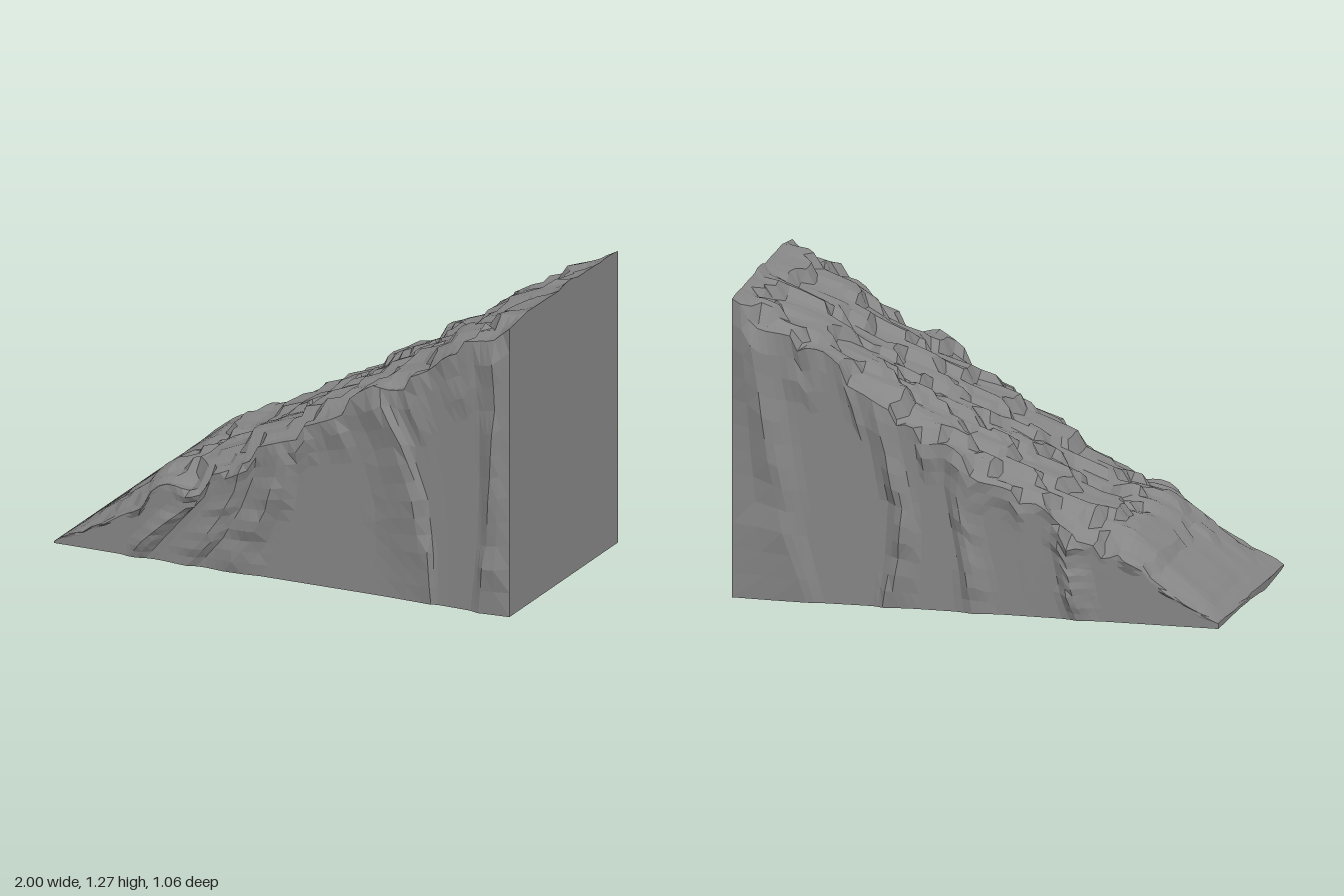
import * as THREE from 'three';

const NX = 60, NZ = 24, NY = 12;     // cells along the ramp, across it, and up each wall
const BASE = 0.035, HALF = 0.49;
const { lerp, clamp, smoothstep } = THREE.MathUtils;

// repeatable noise: a hash in 0..1 and a smoothed version in -1..1
function hash(a, b, seed) {
  const v = Math.sin(a * 127.1 + b * 311.7 + seed * 74.7) * 43758.5453;
  return v - Math.floor(v);
}
function noise(x, y, seed) {
  const i = Math.floor(x), j = Math.floor(y);
  const u = smoothstep(x - i, 0, 1), v = smoothstep(y - j, 0, 1);
  const low = lerp(hash(i, j, seed), hash(i + 1, j, seed), u);
  const high = lerp(hash(i, j + 1, seed), hash(i + 1, j + 1, seed), u);
  return lerp(low, high, v) * 2 - 1;
}
function piecewise(points, x) {
  for (let i = 1; i < points.length; i++) {
    const [x0, y0] = points[i - 1], [x1, y1] = points[i];
    if (x <= x1) return lerp(y0, y1, clamp((x - x0) / (x1 - x0), 0, 1));
  }
  return points[points.length - 1][1];
}

// centre line of the slope
const SLOPE = [[-1, 0.04], [-0.8, 0.19], [-0.58, 0.36], [-0.4, 0.42], [-0.2, 0.54], [0, 0.66],
  [0.2, 0.78], [0.4, 0.91], [0.55, 1], [0.7, 1.11], [0.85, 1.19], [1, 1.262]];

// wall ridges: x at the top, then x at three quarters, half, a quarter and the bottom
const FRONT = [[-0.36, -0.4, -0.5, -0.59, -0.66], [-0.16, -0.19, -0.25, -0.33, -0.44],
  [0, -0.02, -0.06, -0.13, -0.25], [0.38, 0.52, 0.61, 0.64, 0.65], [0.94, 0.95, 0.93, 0.91, 0.87]];
const BACK = [[-0.35, -0.34, -0.36, -0.38, -0.42], [0.08, 0.1, 0.07, 0.03, 0],
  [0.42, 0.36, 0.32, 0.34, 0.38], [0.93, 0.88, 0.84, 0.78, 0.68]];

function slopeHeight(x, z) {
  const ends = smoothstep(x, -1, -0.75) * (1 - 0.75 * smoothstep(x, 0.9, 1));
  const rough = 0.35 + 0.65 * smoothstep(x, -0.75, -0.4);
  const edge = smoothstep(Math.abs(z), 0.34, 0.5);
  // narrow lanes wander downhill, each broken into steep steps of its own
  const lane = Math.floor(z * 13 + 1.3 * Math.sin(x * 3 + z * 4) + x * 1.5);
  const phase = x * (3.6 + 1.6 * hash(lane, 0, 3)) + 5 * hash(lane, 1, 3);
  const step = 0.5 - (phase - Math.floor(phase));
  const streak = noise(x * 2, z * 9 - x * 1.5, 8);
  const h = piecewise(SLOPE, x) + ends * (rough * (0.05 * step + 0.022 * streak + 0.016 * (hash(lane, 2, 3) - 0.5))
    - edge * (0.045 + 0.03 * noise(x * 8, Math.sign(z) * 5, 5)));
  return clamp(h, BASE + 0.005, 1.275);
}

function topPoint(i, k) {
  const s = -1 + 2 * i / NX, inner = k > 0 && k < NZ, mid = i > 0 && i < NX;
  let x = s, z = -HALF + 2 * HALF * k / NZ;
  if (mid && inner) {
    x += (hash(i, k, 1) - 0.5) * 0.016;
    z += 0.012 * noise(s * 9, k * 1.7, 2);
  }
  if (i === 0) x += 0.01 * (1 - z / HALF) + 0.008 * Math.abs(noise(z * 7, 1, 6));
  const y = slopeHeight(x, z);
  if (!inner && mid) z += Math.sign(z) * 0.02 * noise(s * 14, z, 7);
  return new THREE.Vector3(x, y, z);
}

// rows of the wall bend so that they follow the ridge lines
function wallPoint(i, t, side) {
  const top = topPoint(i, side > 0 ? NZ : 0);
  if (t === 1) return top;
  const s = -1 + 2 * i / NX, ridges = side > 0 ? FRONT : BACK;
  const at = r => piecewise([[0, r[4]], [0.25, r[3]], [0.5, r[2]], [0.75, r[1]], [1, r[0]]], t);
  const shift = piecewise([[-1, 0], ...ridges.map(r => [r[0], at(r) - r[0]]), [1, 0]], s);
  const mid = i > 0 && i < NX ? 1 : 0;
  // each ridge has one steep flank, one gentle flank and a chipped crest
  let bulge = 0;
  ridges.forEach((r, n) => {
    const d = s - r[0] + 0.02 * noise(t * 5, n, 12);
    const rise = clamp(d < 0 ? 1 + d / 0.1 : 1.2 - d / 0.045, 0, 1);
    const crest = 0.03 + 0.02 * (hash(Math.round(t * NY), n, 9) - 0.5);
    bulge = Math.max(bulge, rise * crest * (0.45 + 0.55 * smoothstep(t, 0, 0.15)));
  });
  const lump = 0.03 * noise(s * 13, t * 6, 10) * smoothstep(t, 0.72, 0.95);
  const z = side * (HALF + mid * (Math.max(bulge, lump) + 0.005 * noise(s * 2, 1, 11)));
  return new THREE.Vector3(top.x + shift, lerp(BASE, top.y, t), z);
}

function basePoint(i, k) {
  const front = wallPoint(i, 0, 1), back = wallPoint(i, 0, -1), f = k / NZ;
  const p = front.lerp(back, f);
  // drooping lip under the toe
  const toe = Math.max(0, 1 - Math.abs(p.x + 0.94) / 0.15);
  if (k > 0 && k < NZ) {
    p.y -= 0.035 * toe * clamp(1 - Math.abs(p.z - 0.2) / 0.32 + 0.25 * noise(p.z * 9, 2, 13), 0, 1);
  }
  return p;
}

function mesh(name, triangles) {
  const geometry = new THREE.BufferGeometry().setFromPoints(triangles);
  geometry.computeVertexNormals();
  const m = new THREE.Mesh(geometry, new THREE.MeshStandardMaterial({ color: 0x868686, flatShading: true }));
  m.name = name;
  return m;
}

// surface between neighbouring rows, split along the shorter diagonal
function strip(name, rows) {
  const tris = [];
  for (let i = 0; i + 1 < rows.length; i++) {
    for (let j = 0; j + 1 < rows[i].length; j++) {
      const a = rows[i][j], b = rows[i][j + 1], c = rows[i + 1][j + 1], d = rows[i + 1][j];
      if (a.distanceTo(c) < b.distanceTo(d)) tris.push(a, b, c, a, c, d);
      else tris.push(a, b, d, b, c, d);
    }
  }
  return mesh(name, tris);
}

// end face, a fan around the middle of the outline
function cap(name, ring, flip) {
  const centre = new THREE.Vector3();
  ring.forEach(p => centre.addScaledVector(p, 1 / ring.length));
  const tris = [];
  ring.forEach((p, j) => {
    const q = ring[(j + 1) % ring.length];
    tris.push(centre, ...(flip ? [q, p] : [p, q]));
  });
  return mesh(name, tris);
}

export function createModel() {
  const group = new THREE.Group();
  group.name = 'rockRamp';
  const rows = (count, fn) => Array.from({ length: NX + 1 }, (_, i) =>
    Array.from({ length: count + 1 }, (_, j) => fn(i, j)));

  const base = rows(NZ, basePoint);
  const backWall = rows(NY, (i, j) => wallPoint(i, j / NY, -1));
  const slope = rows(NZ, topPoint);
  const frontWall = rows(NY, (i, j) => wallPoint(i, 1 - j / NY, 1));
  const ring = i => [base, backWall, slope, frontWall].flatMap(part => part[i].slice(0, -1));

  group.add(
    strip('base', base),
    strip('backWall', backWall),
    strip('slope', slope),
    strip('frontWall', frontWall),
    cap('tallEnd', ring(NX), false),
    cap('toe', ring(0), true),
  );
  return group;
}
